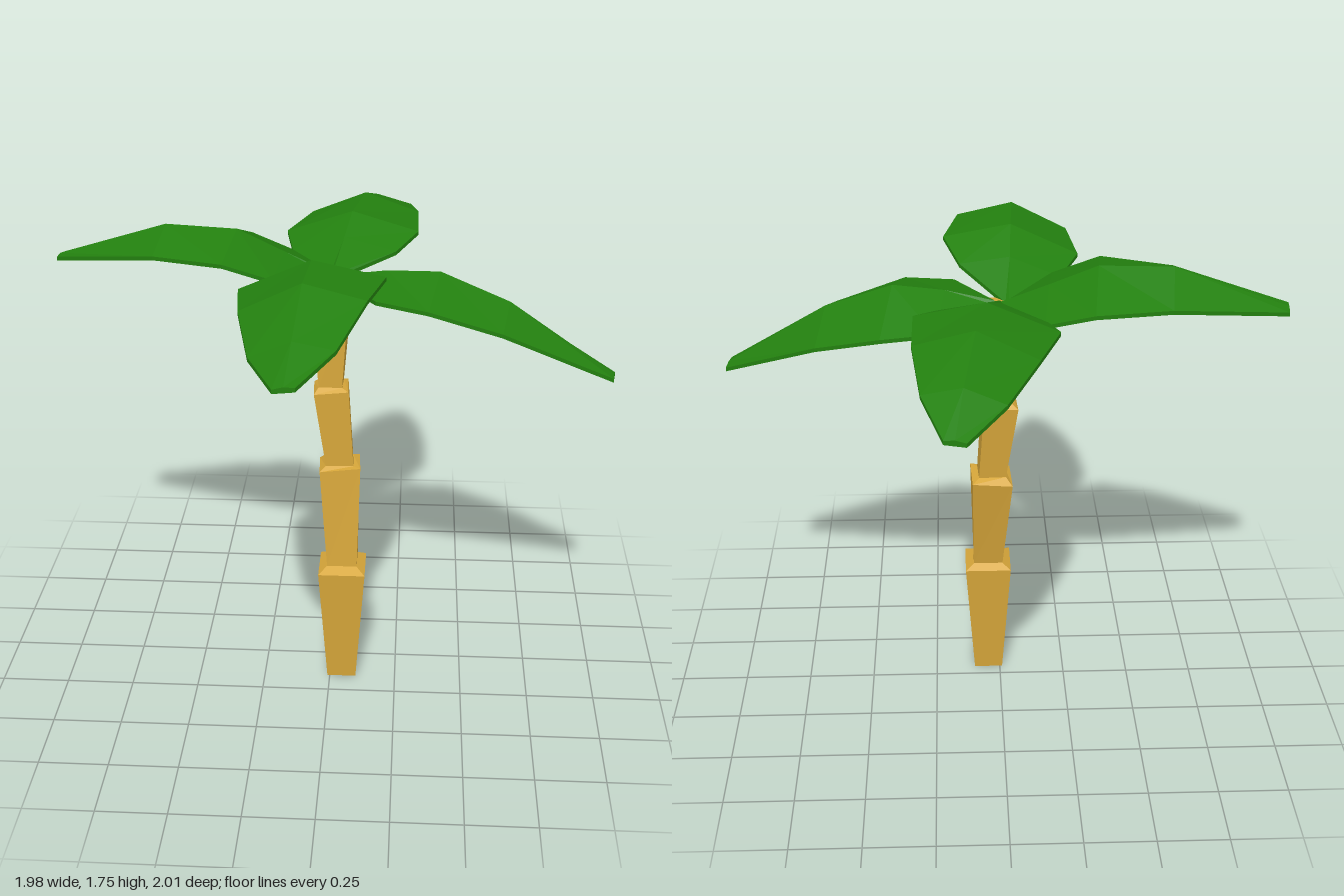
import * as THREE from 'three';

const bark = new THREE.MeshStandardMaterial({ color: 0xd6a63a, flatShading: true });
const green = new THREE.MeshStandardMaterial({ color: 0x23800f, flatShading: true });

// Skin a list of equal-length rings (counter-clockwise about the travel direction) and close both ends
function loft(rings) {
  const n = rings[0].length, last = rings.length - 1, pos = [];
  const tri = (...pts) => pts.forEach((p) => pos.push(p.x, p.y, p.z));
  for (let i = 0; i < last; i++) {
    for (let j = 0; j < n; j++) {
      const k = (j + 1) % n;
      const a = rings[i][j], b = rings[i][k], c = rings[i + 1][k], d = rings[i + 1][j];
      tri(a, b, c);
      tri(a, c, d);
    }
  }
  for (let j = 1; j < n - 1; j++) {
    tri(rings[0][0], rings[0][j + 1], rings[0][j]);
    tri(rings[last][0], rings[last][j], rings[last][j + 1]);
  }
  const g = new THREE.BufferGeometry();
  g.setAttribute('position', new THREE.Float32BufferAttribute(pos, 3));
  g.computeVertexNormals();
  return g;
}

// Square trunk ring: height, centre, half width, twist, and tilt along x and z
function squareRing([y, cx, cz, half, twist = 0, tiltX = 0, tiltZ = 0]) {
  return [0, 1, 2, 3].map((i) => {
    const a = Math.PI / 4 + i * Math.PI / 2 + twist, r = half * Math.SQRT2;
    const x = Math.sin(a) * r, z = Math.cos(a) * r;
    return new THREE.Vector3(cx + x, y + x * tiltX + z * tiltZ, cz + z);
  });
}

// Leaf: roof-shaped sections [distance, half width, ridge height, edge drop] from base to tip
function leafGeometry({ from, to, roll, sections }) {
  const base = new THREE.Vector3(from[0], 0, from[1]);
  const tip = new THREE.Vector3(to[0], 0, to[1]);
  const dir = tip.clone().sub(base).normalize();
  const side = new THREE.Vector3(dir.z, 0, -dir.x);
  const thick = 0.014;
  return loft(sections.map(([s, half, ridge, drop]) => {
    const rise = roll * half / 0.24;
    const at = (k, y) => base.clone().lerp(tip, s).addScaledVector(side, k * half).setY(y);
    const right = ridge - drop + rise, left = ridge - drop - rise;
    return [at(1, right - thick), at(1, right), at(0, ridge), at(-1, left), at(-1, left - thick), at(0, ridge - thick)];
  }));
}

export function createModel() {
  const model = new THREE.Group();

  // Trunk: four flared segments, each stepping in to the next
  const trunk = new THREE.Mesh(loft([
    [0, 0.045, 0.102, 0.054],
    [0.465, 0.045, 0.1, 0.086],
    [0.485, 0.045, 0.095, 0.055],
    [0.863, 0.032, 0.047, 0.074, 0.05, 0.1, 0.08],
    [0.877, 0.031, 0.05, 0.05, 0.05],
    [1.165, 0, 0.04, 0.062, 0.05, 0.08],
    [1.18, 0, 0.04, 0.042, -0.03],
    [1.48, 0, 0.01, 0.064, -0.06],
    [1.57, 0, 0, 0.04, -0.06],
  ].map(squareRing)), bark);
  trunk.name = 'trunk';
  model.add(trunk);

  // Crown: four drooping leaves
  const leaves = {
    frontLeaf: {
      from: [-0.03, 0], to: [-0.085, 1], roll: 0.03,
      sections: [[0, 0.012, 1.575, 0.01], [0.18, 0.18, 1.67, 0.05], [0.33, 0.245, 1.742, 0.08],
        [0.57, 0.205, 1.748, 0.075], [0.82, 0.135, 1.655, 0.04], [1, 0.035, 1.585, 0.005]],
    },
    backLeaf: {
      from: [0, 0], to: [0.165, -1], roll: -0.015,
      sections: [[0, 0.012, 1.575, 0.01], [0.2, 0.19, 1.645, 0.05], [0.34, 0.245, 1.7, 0.075],
        [0.58, 0.205, 1.7, 0.075], [0.83, 0.133, 1.62, 0.04], [1, 0.035, 1.53, 0.005]],
    },
    leftLeaf: {
      from: [0.02, 0], to: [0.985, 0.16], roll: -0.025,
      sections: [[0, 0.012, 1.575, 0.01], [0.18, 0.21, 1.605, 0.06], [0.37, 0.24, 1.615, 0.085],
        [0.62, 0.18, 1.525, 0.07], [1, 0.04, 1.29, 0.005]],
    },
    rightLeaf: {
      from: [0, -0.015], to: [-0.985, -0.13], roll: 0.02,
      sections: [[0, 0.012, 1.575, 0.01], [0.17, 0.21, 1.645, 0.05], [0.34, 0.24, 1.718, 0.07],
        [0.6, 0.18, 1.722, 0.075], [1, 0.04, 1.592, 0.005]],
    },
  };
  for (const [name, spec] of Object.entries(leaves)) {
    const leaf = new THREE.Mesh(leafGeometry(spec), green);
    leaf.name = name;
    model.add(leaf);
  }
  return model;
}
